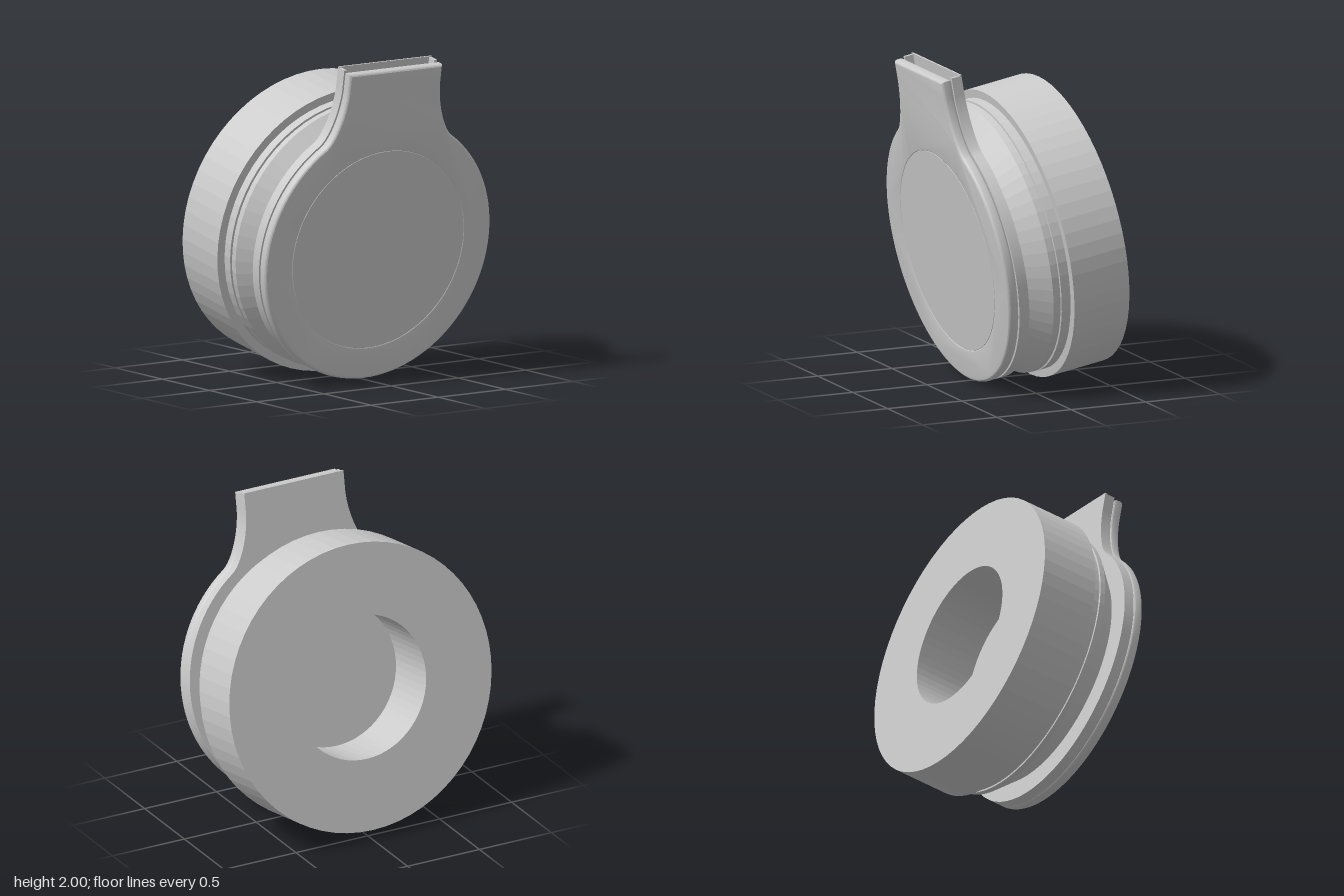
import * as THREE from 'three';
import { toCreasedNormals } from 'three/addons/utils/BufferGeometryUtils.js';

const grey = new THREE.MeshStandardMaterial({ color: 0xcccccc });
const RADIUS = 0.832;   // round part of the yoke plate
const JOIN = 0.966;     // angle where the stem leaves the round part

function add(group, name, geometry) {
  const mesh = new THREE.Mesh(geometry, grey);
  mesh.name = name;
  group.add(mesh);
}

// Turned, faceted part: profile of [radius, x] pairs, spun about the cup's x axis
function turned(profile) {
  const points = profile.map(([r, x]) => new THREE.Vector2(r, x));
  return toCreasedNormals(new THREE.LatheGeometry(points, 64).rotateZ(-Math.PI / 2), 0.05);
}

// Disc with a flared stem rising to the given height; pocket cuts the stem open
function plateShape(top, pocket = false) {
  const s = new THREE.Shape();
  const jx = RADIUS * Math.cos(JOIN), jy = RADIUS * Math.sin(JOIN);
  s.moveTo(0.345, top);
  s.lineTo(0.345, 1.05);
  s.bezierCurveTo(0.345, 0.92, 0.4, 0.74, jx, jy);
  s.absarc(0, 0, RADIUS, JOIN, Math.PI - JOIN, true);
  s.bezierCurveTo(-0.4, 0.74, -0.345, 0.92, -0.345, 1.05);
  s.lineTo(-0.345, top);
  if (pocket) {
    s.lineTo(-0.325, top);
    s.lineTo(-0.325, 0.75);
    s.lineTo(0.325, 0.75);
    s.lineTo(0.325, top);
  }
  s.closePath();
  return s;
}

// Extrude a shape along x from x0 to x1, with an optional rounded edge
function slab(shape, x0, x1, bevel = 0) {
  const g = new THREE.ExtrudeGeometry(shape, {
    depth: x1 - x0 - 2 * bevel, curveSegments: 40,
    bevelEnabled: bevel > 0, bevelSize: bevel, bevelThickness: bevel,
    bevelOffset: -bevel, bevelSegments: 4,
  });
  return toCreasedNormals(g.translate(0, 0, x0 + bevel).rotateY(Math.PI / 2), 0.35);
}

export function createModel() {
  const cup = new THREE.Group();
  cup.name = 'earCup';

  // Ear cushion with a deep round opening
  add(cup, 'cushion', turned([
    [0, 0.385], [0.455, 0.385], [0.455, 0], [0.908, 0], [0.908, 0.375], [0.8, 0.375],
  ]));

  // Housing: grooved rim, then a cone down to the flat outer face
  add(cup, 'housing', turned([
    [0.8, 0.37], [0.855, 0.37], [0.855, 0.435], [0.842, 0.437], [0.842, 0.45],
    [0.853, 0.452], [0.851, 0.488], [0.72, 0.627], [0, 0.627],
  ]));

  // Short hub joining the housing to the yoke
  add(cup, 'hub', turned([[0, 0.62], [0.55, 0.62], [0.55, 0.65], [0, 0.65]]));

  // Yoke back: thin wall, then a frame leaving a slot open at the top of the stem
  add(cup, 'yokeWall', slab(plateShape(1.168), 0.645, 0.655));
  add(cup, 'yokeFrame', slab(plateShape(1.162, true), 0.655, 0.712));

  // Rounded yoke cover with an inset cap in the middle
  const cover = plateShape(1.153);
  cover.holes.push(new THREE.Path().absarc(0, 0, 0.622, 0, Math.PI * 2, false));
  add(cup, 'yokeCover', slab(cover, 0.712, 0.782, 0.022));
  add(cup, 'cap', turned([[0, 0.7], [0.635, 0.7], [0.635, 0.775], [0.63, 0.78], [0, 0.78]]));

  // The whole cup leans over
  cup.rotation.z = -THREE.MathUtils.degToRad(10);
  cup.position.set(-0.407, 0.96, 0);

  const model = new THREE.Group();
  model.name = 'headphoneCup';
  model.add(cup);
  return model;
}
